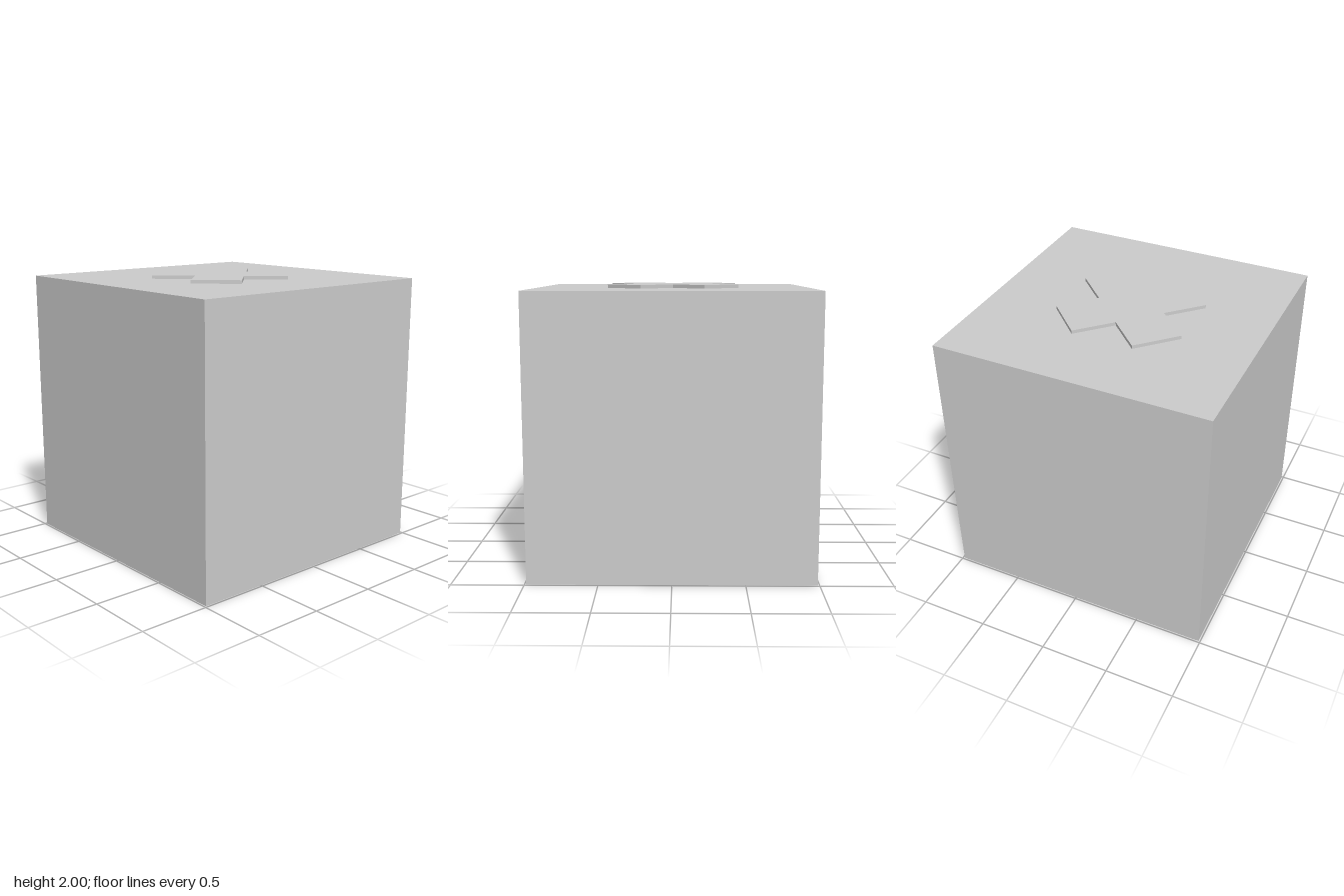
import * as THREE from 'three';

const SIDE = 1.975;   // edge of the cube shell
const HEIGHT = 2;     // shell plus raised cross

export function createModel() {
  const model = new THREE.Group();
  const material = new THREE.MeshStandardMaterial({ color: 0xcccccc, side: THREE.DoubleSide, flatShading: true });
  const panel = new THREE.PlaneGeometry(SIDE, SIDE);

  // Thin cube shell, open at the bottom
  const shell = new THREE.Group();
  shell.name = 'shell';
  ['frontWall', 'leftWall', 'backWall', 'rightWall'].forEach((name, i) => {
    const angle = i * Math.PI / 2;
    const wall = new THREE.Mesh(panel, material);
    wall.name = name;
    wall.rotation.y = angle;
    wall.position.set(Math.sin(angle) * SIDE / 2, SIDE / 2, Math.cos(angle) * SIDE / 2);
    shell.add(wall);
  });
  const top = new THREE.Mesh(panel, material);
  top.name = 'topPanel';
  top.rotation.x = -Math.PI / 2;
  top.position.y = SIDE;
  shell.add(top);
  model.add(shell);

  // Raised diagonal cross: each arm has an inner corner and two tips
  const inner = 0.25, near = 0.223, far = 0.473;
  const outline = [];
  for (let i = 0; i < 4; i++) {
    for (const [x, y] of [[inner, 0], [far, near], [near, far]]) {
      outline.push(new THREE.Vector2(x, y).rotateAround(new THREE.Vector2(), i * Math.PI / 2));
    }
  }
  const crossGeometry = new THREE.ExtrudeGeometry(new THREE.Shape(outline), {
    depth: HEIGHT - SIDE, bevelEnabled: false,
  });
  const cross = new THREE.Mesh(crossGeometry, material);
  cross.name = 'raisedCross';
  cross.rotation.x = -Math.PI / 2;
  cross.position.y = SIDE;
  model.add(cross);

  return model;
}
